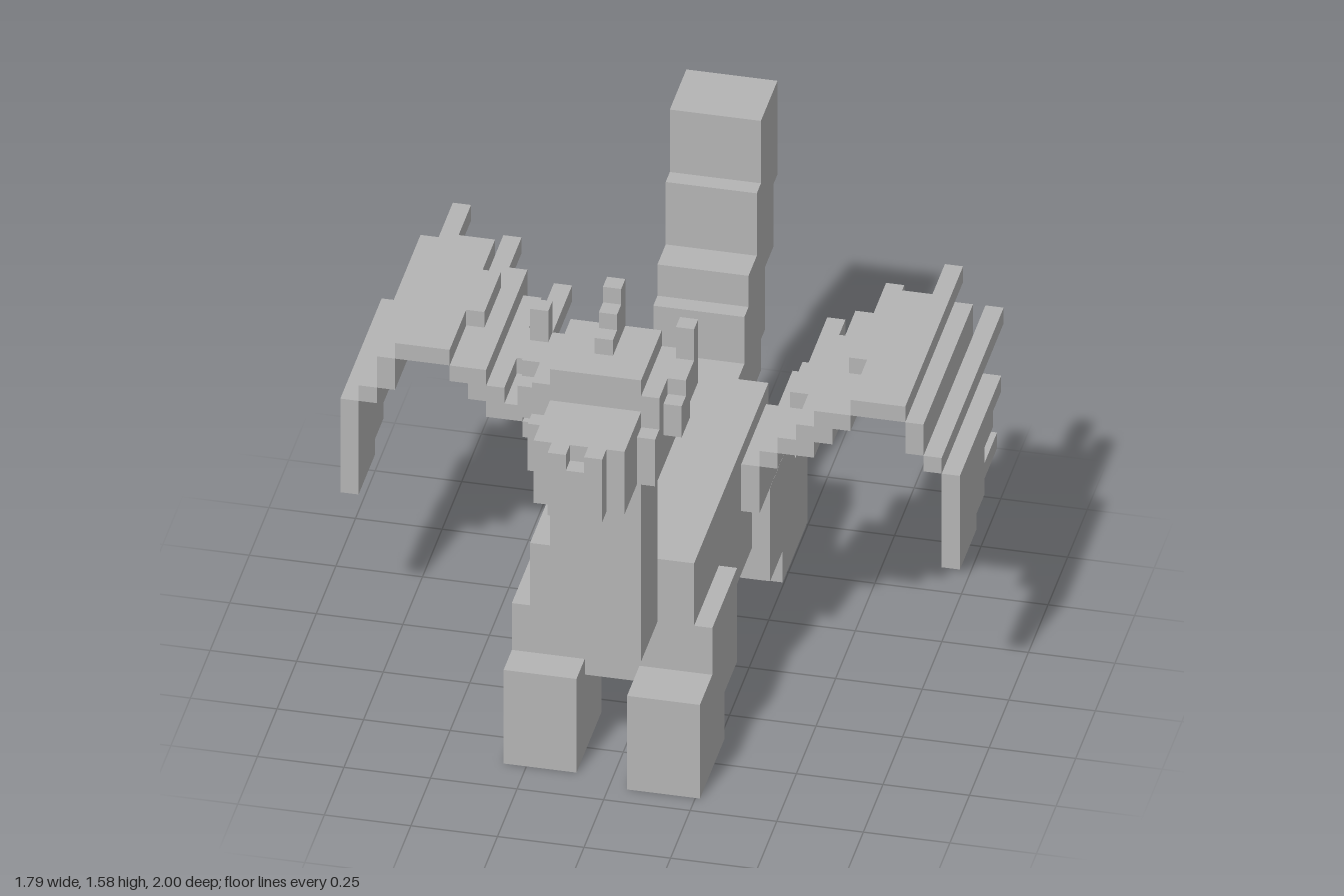
import * as THREE from 'three';

// One block of the grid
const U = 1 / 19;

export function createModel() {
  const model = new THREE.Group();
  model.name = 'blockDragon';
  const stone = new THREE.MeshStandardMaterial({ color: 0xb4b4b4 });
  stone.name = 'stoneGrey';

  const group = (name) => {
    const g = new THREE.Group();
    g.name = name;
    model.add(g);
    return g;
  };
  // Box between grid limits
  const box = (parent, name, x0, x1, y0, y1, z0, z1) => {
    const geo = new THREE.BoxGeometry((x1 - x0) * U, (y1 - y0) * U, (z1 - z0) * U);
    const mesh = new THREE.Mesh(geo, stone);
    mesh.name = name;
    mesh.position.set((x0 + x1) * U / 2, (y0 + y1) * U / 2, (z0 + z1) * U / 2);
    parent.add(mesh);
  };

  // Trunk and neck
  box(model, 'body', -5, 4, 5, 13, -8, 10);
  box(model, 'neck', -3, 2, 9, 21, 10, 14);

  // Legs in mid-stride: x start, thigh z range, foot y start and z range
  const legs = [
    ['frontLeftLeg', 1, 4, 10, 0, 7, 13],
    ['frontRightLeg', -6, 4, 10, 0, 6, 12],
    ['backLeftLeg', 1, -10, -4, 1, -13, -7],
    ['backRightLeg', -6, -8, -2, 0, -10, -4],
  ];
  for (const [name, x, t0, t1, y, f0, f1] of legs) {
    const leg = group(name);
    box(leg, 'thigh', x, x + 4, 3, 9, t0, t1);
    box(leg, 'foot', x, x + 4, y, y + 6, f0, f1);
  }

  // Tail climbing backwards: y range, z range
  const tail = group('tail');
  const tailSteps = [
    [7, 12, -12, -8], [8, 12, -14, -8], [9, 15, -15, -11],
    [11, 17, -16, -12], [15, 21, -18, -14], [19, 25, -19, -15],
  ];
  for (const [y0, y1, z0, z1] of tailSteps) box(tail, 'tailSegment', -3, 2, y0, y1, z0, z1);

  // Head with snout and nose
  const head = group('head');
  box(head, 'skull', -4, 3, 21, 26, 9, 14);
  box(head, 'crown', -3, 2, 26, 27, 9, 14);
  box(head, 'cheeks', -4, 3, 21, 24, 14, 15);
  box(head, 'snout', -3, 2, 21, 25, 14, 18);
  box(head, 'nose', -2, 1, 21, 24, 18, 19);
  for (const x of [-2, 0]) box(head, 'nostril', x, x + 1, 24, 25, 18, 19);

  // Stepped crest on the crown
  [30, 29, 28].forEach((top, i) => box(head, 'crest', -1, 0, 27, top, 9 + i, 10 + i));

  // Stepped ears on both sides
  for (const x of [-5, 3]) {
    box(head, 'earTip', x, x + 1, 24, 28, 9, 10);
    box(head, 'earMiddle', x, x + 1, 24, 26, 10, 11);
    box(head, 'earBase', x, x + 1, 23, 26, 11, 12);
    box(head, 'earFront', x, x + 1, 23, 25, 12, 13);
  }

  // Wing feathers: x range, y range, z range
  const feathers = [
    [5, 6, 12, 15, -3, 3], [6, 7, 15, 16, -5, 3],
    [7, 8, 16, 17, -9, 3], [7, 8, 17, 18, -3, 0],
    [8, 9, 16, 18, -6, 3], [9, 10, 17, 19, -7, 3],
    [10, 11, 18, 19, -10, 3], [10, 11, 19, 20, -5, -1],
    [11, 13, 19, 20, -8, 3], [13, 14, 19, 20, -11, 3],
    [14, 15, 17, 19, -9, 3], [15, 16, 16, 17, -12, 3],
  ];
  // Wing tip: back edge of each row, from the bottom up
  const tipBacks = [-1, -3, -6, -3, -5, -7];
  for (const side of [1, -1]) {
    const wing = group(side > 0 ? 'leftWing' : 'rightWing');
    const add = (name, x0, x1, ...rest) =>
      box(wing, name, side > 0 ? x0 : -x1, side > 0 ? x1 : -x0, ...rest);
    for (const f of feathers) add('feather', ...f);
    tipBacks.forEach((z, i) => add('wingTip', 16, 17, 10 + i, 11 + i, z, 3));
  }
  return model;
}
